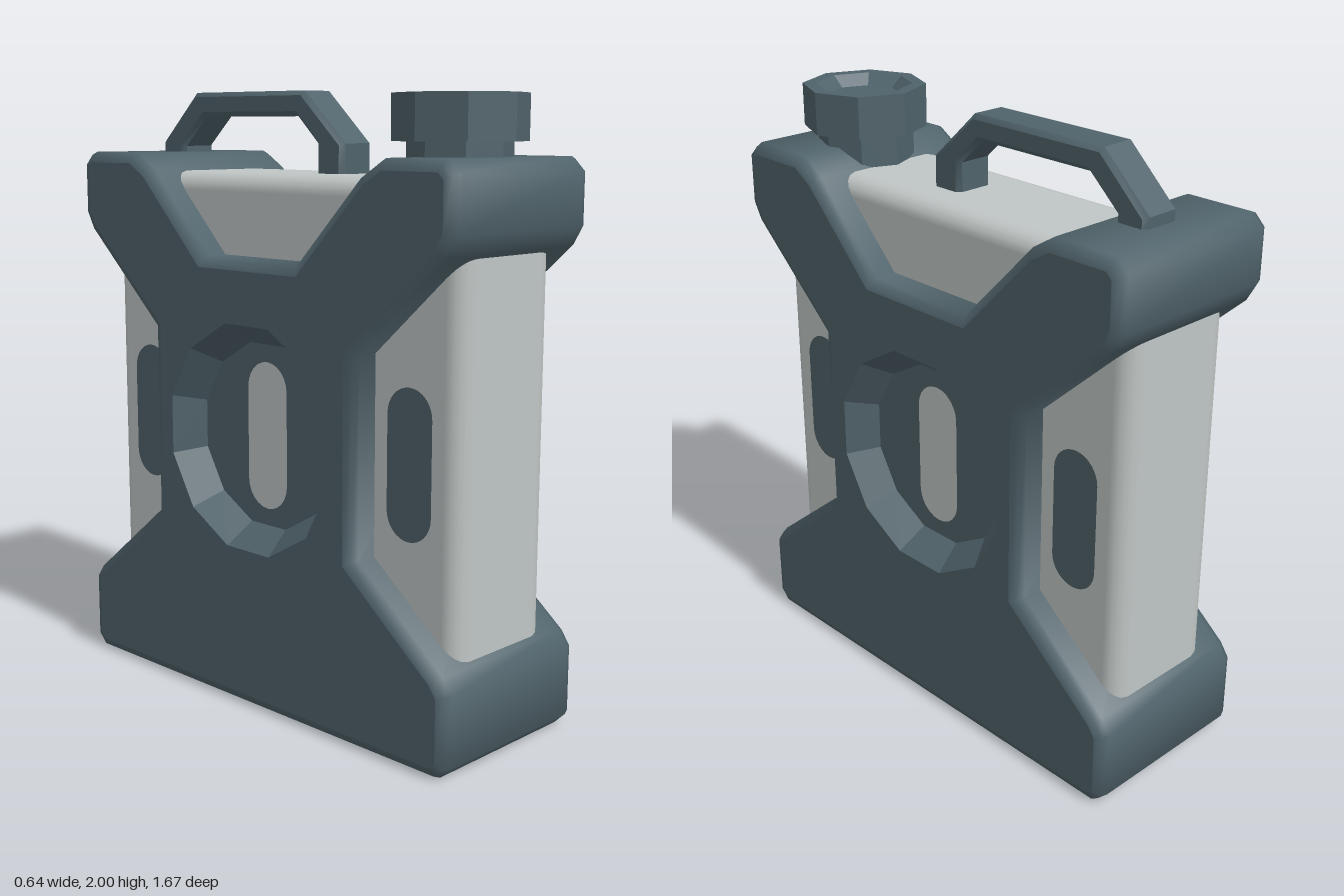
import * as THREE from 'three';
import { toCreasedNormals } from 'three/addons/utils/BufferGeometryUtils.js';
import { RoundedBoxGeometry } from 'three/addons/geometries/RoundedBoxGeometry.js';

const HALF = 0.32;          // half width of the frame
const RING_Y = 0.9;         // height of the round recess
const RING_R = 0.381;
const BEVEL = 0.035;

const slate = new THREE.MeshStandardMaterial({ color: 0x50636b });
slate.name = 'slate';
const paleGrey = new THREE.MeshStandardMaterial({ color: 0xc0c6c5 });
paleGrey.name = 'pale grey';

function add(parent, name, geometry, material) {
  const mesh = new THREE.Mesh(geometry, material);
  mesh.name = name;
  parent.add(mesh);
  return mesh;
}

const shapeOf = (points) => new THREE.Shape(points.map(([a, b]) => new THREE.Vector2(a, b)));

// Faceted turned part
function turned(profile, sides, start = 0) {
  const points = profile.map(([r, y]) => new THREE.Vector2(r, y));
  return toCreasedNormals(new THREE.LatheGeometry(points, sides, start), 0.4);
}

// Upright flat pill facing +z
function pill(radius, halfHeight, segments) {
  const c = halfHeight - radius;
  const shape = new THREE.Shape();
  shape.absarc(0, c, radius, 0, Math.PI, false);
  shape.absarc(0, -c, radius, Math.PI, 2 * Math.PI, false);
  return new THREE.ShapeGeometry(shape, segments);
}

// X-shaped frame outline at the flat side face, front half as (z, y)
const half = [
  [0.78, 0.035], [0.8, 0.055], [0.8, 0.254], [0.775, 0.29],
  [0.425, 0.573], [0.425, 1.237], [0.773, 1.552], [0.8, 1.6],
  [0.8, 1.745], [0.78, 1.765], [0.57, 1.765], [0.5, 1.722], [0.2245, 1.44],
];
const outline = [...half, ...half.map(([z, y]) => [-z, y]).reverse()];

function buildFrame(group) {
  // Bevelled rim, keeping only the side walls of the extrusion
  const depth = 2 * (HALF - BEVEL);
  const solid = new THREE.ExtrudeGeometry(shapeOf(outline), {
    depth, bevelThickness: BEVEL, bevelSize: BEVEL, bevelSegments: 2,
  });
  const { start, count } = solid.groups[1];
  const walls = new THREE.BufferGeometry();
  walls.setAttribute('position', new THREE.BufferAttribute(
    solid.attributes.position.array.slice(start * 3, (start + count) * 3), 3));
  walls.translate(0, 0, -depth / 2);
  walls.rotateY(-Math.PI / 2);
  add(group, 'frameRim', toCreasedNormals(walls, 1.0), slate);

  // Side faces with a twelve-sided opening
  const face = shapeOf(outline);
  const hole = [];
  for (let i = 0; i < 12; i++) {
    const a = -(i + 0.5) * Math.PI / 6;
    hole.push(new THREE.Vector2(RING_R * Math.cos(a), RING_Y + RING_R * Math.sin(a)));
  }
  face.holes.push(new THREE.Path(hole));

  for (const side of [1, -1]) {
    const panel = new THREE.Group();
    panel.name = side > 0 ? 'leftSide' : 'rightSide';
    panel.rotation.y = side * Math.PI / 2;
    group.add(panel);

    add(panel, 'frameFace', new THREE.ShapeGeometry(face), slate).position.z = HALF;

    // Sunken dish with its pale pill
    const dish = turned([[RING_R, 0], [0.31, -0.095], [0, -0.095]], 12, Math.PI / 12);
    dish.rotateX(Math.PI / 2);
    add(panel, 'recess', dish, slate).position.set(0, RING_Y, HALF);
    add(panel, 'recessPill', pill(0.09, 0.243, 6), paleGrey).position.set(0, RING_Y, 0.228);

    // Dark pills on the exposed tank
    for (const z of [0.6, -0.6]) {
      add(panel, 'tankPill', pill(0.0875, 0.235, 8), slate).position.set(z, RING_Y, 0.218);
    }
  }
}

function buildHandle(group) {
  const shape = shapeOf([
    [0.18, 1.7], [0.18, 1.835], [0, 2], [-0.525, 2], [-0.7, 1.835], [-0.7, 1.75],
    [-0.585, 1.75], [-0.585, 1.82], [-0.475, 1.92], [-0.03, 1.92], [0.06, 1.835], [0.06, 1.7],
  ].reverse());
  const b = 0.015;
  const geometry = new THREE.ExtrudeGeometry(shape, {
    depth: 0.14 - 2 * b, bevelThickness: b, bevelSize: b, bevelOffset: -b, bevelSegments: 1,
  });
  geometry.translate(0, 0, b - 0.07);
  geometry.rotateY(-Math.PI / 2);
  add(group, 'handle', toCreasedNormals(geometry, 0.7), slate);
}

function buildSpout(group) {
  const spout = new THREE.Group();
  spout.name = 'spout';
  spout.position.z = 0.595;
  group.add(spout);
  add(spout, 'neck', turned([[0.16, 1.7], [0.16, 1.85]], 8), slate);
  // Screw cap with a dished top
  add(spout, 'cap', turned([
    [0, 1.845], [0.205, 1.845], [0.205, 1.985], [0.16, 1.985], [0.12, 1.95], [0, 1.95],
  ], 8), slate);
}

export function createModel() {
  const model = new THREE.Group();
  model.name = 'fuelCan';
  const tank = add(model, 'tank', new RoundedBoxGeometry(0.43, 1.64, 1.58, 2, 0.06), paleGrey);
  tank.position.y = 0.92;
  buildFrame(model);
  buildHandle(model);
  buildSpout(model);
  return model;
}
